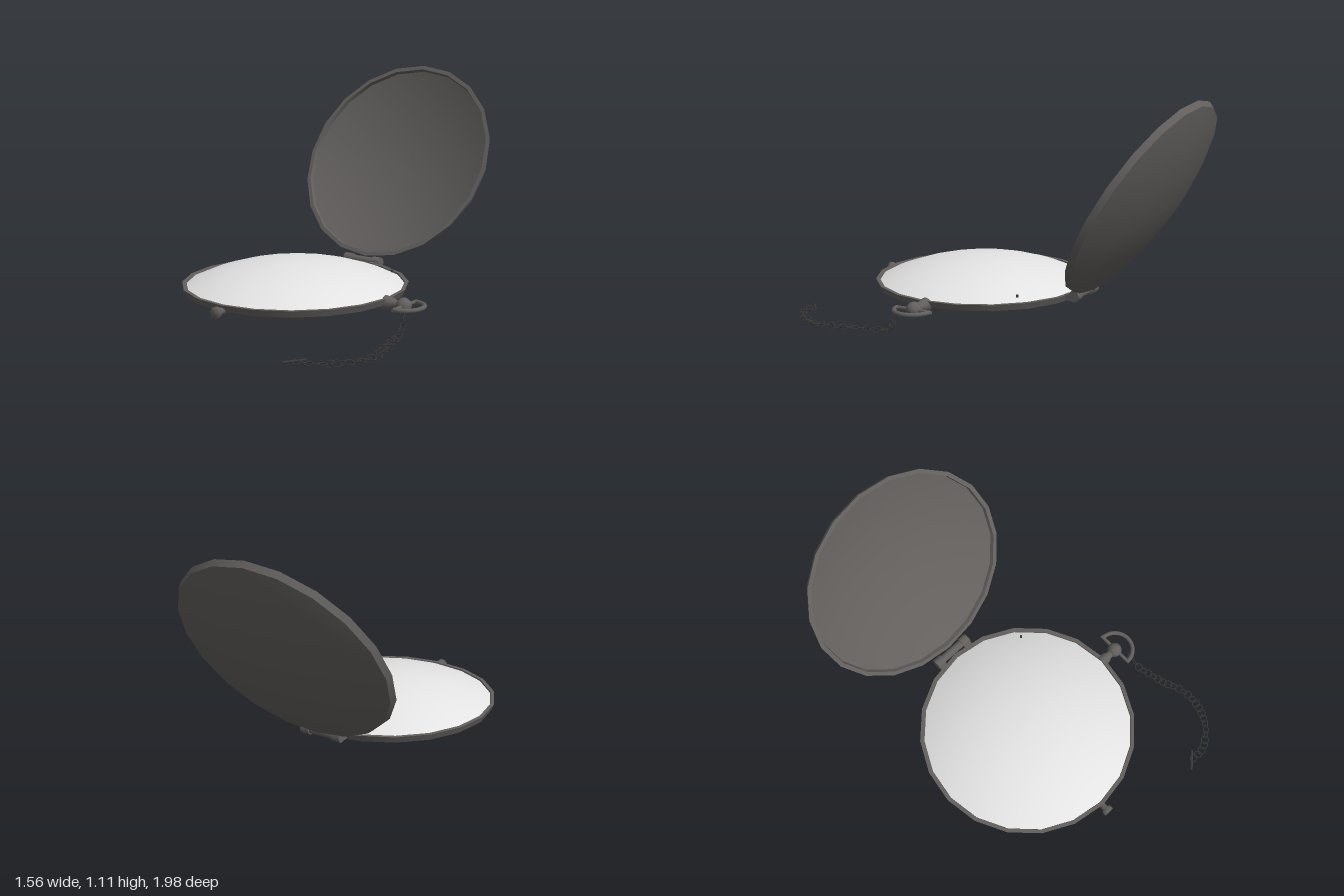
import * as THREE from 'three';

const SIDES = 20, R = 0.543, DEG = Math.PI / 180;

const mat = (name, color) => {
  const m = new THREE.MeshStandardMaterial({ color });
  m.name = name;
  return m;
};

function add(parent, name, geometry, material, pos = [0, 0, 0], rot = [0, 0, 0]) {
  const mesh = new THREE.Mesh(geometry, material);
  mesh.name = name;
  mesh.position.set(...pos);
  mesh.rotation.set(...rot);
  parent.add(mesh);
  return mesh;
}

const lathe = (pts, sides = SIDES) =>
  new THREE.LatheGeometry(pts.map(([r, y]) => new THREE.Vector2(r, y)), sides);

// Profile of a shallow spherical cap from the centre (y0) out to the edge (r, y1)
function cap(r, y0, y1, n = 10) {
  const h = Math.abs(y1 - y0), big = (r * r + h * h) / (2 * h), s = Math.sign(y1 - y0);
  return Array.from({ length: n + 1 }, (_, i) => {
    const x = r * Math.sin((i / n) * Math.PI / 2);
    return [x, y0 + s * (big - Math.sqrt(big * big - x * x))];
  });
}

export function createModel() {
  const model = new THREE.Group();
  model.name = 'pocketWatch';
  const metal = mat('darkMetal', 0x625f5d);
  const glass = mat('paleDial', 0xe4e4e4);
  const iron = mat('chainMetal', 0x3c3a39);

  // Local +x points at the hinge, +z at the winding crown
  const watch = new THREE.Group();
  watch.name = 'watch';
  watch.position.set(-0.24, 0, 0.053);
  watch.rotation.y = 47 * DEG;
  model.add(watch);

  // Body: domed back, rim band and flat rim top
  add(watch, 'caseBack', lathe(cap(0.53, 0.017, 0.12)), metal);
  add(watch, 'caseRim', lathe([[0.53, 0.12], [R, 0.152]]), metal);
  add(watch, 'rimTop', lathe([[R, 0.152], [0.524, 0.152]]), metal);
  add(watch, 'rimInner', lathe([[0.524, 0.152], [0.52, 0.14]]), metal);
  add(watch, 'dialDome', lathe(cap(0.523, 0.26, 0.145).reverse()), glass);
  add(model, 'dialPin', new THREE.BoxGeometry(0.01, 0.012, 0.01), iron, [0.24, 0.174, -0.01]);

  // Lid: hollow shell swung open about the hinge
  const lid = new THREE.Group();
  lid.name = 'lid';
  lid.position.set(0.855, 0.64, 0);
  lid.rotation.z = 60 * DEG;
  watch.add(lid);
  add(lid, 'lidShell', lathe(cap(0.53, -0.125, -0.03)), metal);
  add(lid, 'lidRim', lathe([[0.53, -0.03], [R, 0]]), metal);
  add(lid, 'lidRimTop', lathe([[R, 0], [0.522, 0]]), metal);
  add(lid, 'lidRimInner', lathe([[0.522, 0], [0.518, -0.02]]), metal);
  add(lid, 'lidInside', lathe(cap(0.518, -0.11, -0.02).reverse()), metal);

  // Hinge: thin pin with a barrel at each end and a leaf to the case
  const hinge = new THREE.Group();
  hinge.name = 'hinge';
  hinge.position.set(0.565, 0.15, 0);
  watch.add(hinge);
  add(hinge, 'hingePin', new THREE.CylinderGeometry(0.021, 0.021, 0.19, 12), metal,
    [0, 0, 0], [Math.PI / 2, 0, 0]);
  for (const s of [-1, 1]) {
    add(hinge, 'hingeBarrel', new THREE.CylinderGeometry(0.028, 0.028, 0.045, 12), metal,
      [0, 0, s * 0.085], [Math.PI / 2, 0, 0]);
    add(hinge, 'hingeLeaf', new THREE.BoxGeometry(0.05, 0.03, 0.04), metal,
      [-0.025, -0.01, s * 0.085]);
  }

  // Catch button opposite the hinge
  add(watch, 'catchButton', lathe([[0, -0.04], [0.016, -0.04], [0.016, 0.01], [0.027, 0.015],
    [0.027, 0.035], [0, 0.037]], 12), metal, [-0.55, 0.125, 0], [0, 0, Math.PI / 2]);

  // Crown: stem, collar, ball and the half-round bow lying flat
  const crown = new THREE.Group();
  crown.name = 'crown';
  crown.position.set(0, 0.13, 0.62);
  watch.add(crown);
  add(crown, 'crownStem', lathe([[0.034, -0.1], [0.028, -0.06], [0.02, -0.045], [0.02, 0]], 12),
    metal, [0, 0, 0], [Math.PI / 2, 0, 0]);
  add(crown, 'crownBall', new THREE.SphereGeometry(0.037, 14, 10), metal);
  add(crown, 'bowBar', new THREE.CylinderGeometry(0.009, 0.009, 0.2, 8), metal,
    [0, 0, 0.005], [0, 0, Math.PI / 2]);
  add(crown, 'bow', new THREE.TorusGeometry(0.09, 0.011, 8, 20, Math.PI), metal,
    [0, 0, 0.005], [Math.PI / 2, 0, 0]);

  // Chain: drops from the bow, then trails along the ground
  const path = new THREE.CatmullRomCurve3([
    [0.195, 0.115, 0.555], [0.192, 0.06, 0.575], [0.165, 0.026, 0.61], [0.135, 0.024, 0.66],
    [0.09, 0.024, 0.74], [0.06, 0.024, 0.82], [0.02, 0.024, 0.88], [-0.05, 0.024, 0.935],
    [-0.155, 0.026, 0.965], [-0.26, 0.024, 0.948], [-0.31, 0.024, 0.905],
  ].map(p => new THREE.Vector3(...p)));
  const chain = new THREE.Group();
  chain.name = 'chain';
  model.add(chain);
  const linkGeo = new THREE.TorusGeometry(0.02, 0.0028, 5, 7);
  const N = 28, xAxis = new THREE.Vector3(1, 0, 0);
  for (let i = 0; i < N; i++) {
    const link = add(chain, 'chainLink', linkGeo, iron);
    link.position.copy(path.getPointAt(i / (N - 1)));
    link.quaternion.setFromUnitVectors(xAxis, path.getTangentAt(i / (N - 1)));
    link.rotateX((i % 2 ? 65 : 115) * DEG + 0.3 * Math.sin(i * 2.3));
  }
  add(chain, 'chainBar', new THREE.CylinderGeometry(0.006, 0.006, 0.1, 8), iron,
    [-0.32, 0.022, 0.897], [0, 0, Math.PI / 2 + 0.08]);

  return model;
}
